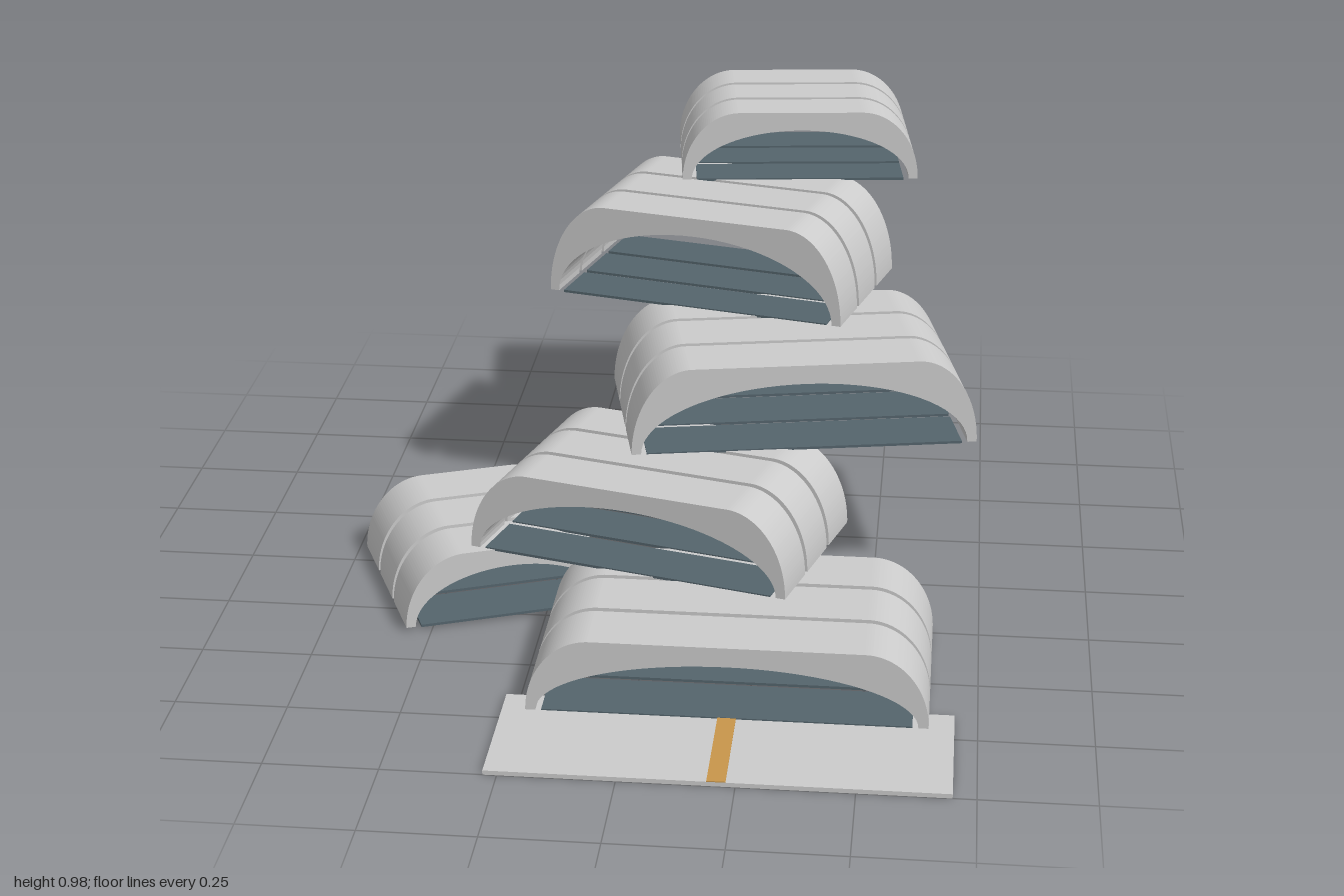
import * as THREE from 'three';

const shellMat = new THREE.MeshStandardMaterial({ color: 0xcccccc });
const floorMat = new THREE.MeshStandardMaterial({ color: 0x54646c });
const stripMat = new THREE.MeshStandardMaterial({ color: 0xc8964b });

const GAP = 0.016;     // slit between neighbouring ribs
const CORNER = 0.14;   // width of the rounded shoulder
const ROOF = 0.045;    // roof thickness at the crown
const FOOT = 0.022;    // thickness at the foot

function box(name, mat, w, h, d, x, y, z) {
  const mesh = new THREE.Mesh(new THREE.BoxGeometry(w, h, d), mat);
  mesh.name = name;
  mesh.position.set(x, y, z);
  return mesh;
}

// Arch section: flat roof with elliptical shoulders, elliptical opening below
function archShape(half, height) {
  const s = new THREE.Shape();
  s.moveTo(half, 0);
  s.absellipse(half - CORNER, 0, CORNER, height, 0, Math.PI / 2, false, 0);
  s.absellipse(-half + CORNER, 0, CORNER, height, Math.PI / 2, Math.PI, false, 0);
  s.lineTo(-half + FOOT, 0);
  s.absellipse(0, 0, half - FOOT, height - ROOF, Math.PI, 0, true, 0);
  s.closePath();
  return s;
}

// One pavilion: three arched ribs, each over its own thin dark floor
function pavilion({ name, width, depth, x, z, base, top, turn }) {
  const group = new THREE.Group();
  group.name = name;
  const rib = (depth - 2 * GAP) / 3;
  const arch = new THREE.ExtrudeGeometry(archShape(width / 2, top - base), {
    depth: rib, bevelEnabled: false, curveSegments: 20,
  });
  arch.translate(0, 0, -rib / 2);
  for (let i = -1; i <= 1; i++) {
    const offset = i * (rib + GAP);
    const mesh = new THREE.Mesh(arch, shellMat);
    mesh.name = 'archRib';
    mesh.position.z = offset;
    group.add(mesh, box('floorPanel', floorMat, width - 0.07, 0.006, rib, 0, 0, offset));
  }
  group.position.set(x, base, z);
  group.rotation.y = THREE.MathUtils.degToRad(turn);
  return group;
}

export function createModel() {
  const model = new THREE.Group();
  model.name = 'steppedPavilions';

  // Entrance terrace with a coloured path
  model.add(box('terrace', shellMat, 0.98, 0.01, 0.34, 0.21, 0.005, 0.83));
  model.add(box('path', stripMat, 0.04, 0.003, 0.28, 0.21, 0.0108, 0.86));

  // Arched pavilions climbing towards the back
  [
    { name: 'entrancePavilion', width: 0.874, depth: 0.485, x: 0.208, z: 0.483, base: 0.01, top: 0.18, turn: 0 },
    { name: 'sidePavilion', width: 0.504, depth: 0.46, x: -0.41, z: 0.058, base: 0.01, top: 0.18, turn: 22.3 },
    { name: 'secondPavilion', width: 0.763, depth: 0.439, x: 0.01, z: 0.162, base: 0.18, top: 0.375, turn: -15.7 },
    { name: 'thirdPavilion', width: 0.804, depth: 0.475, x: 0.289, z: -0.153, base: 0.375, top: 0.58, turn: 11.4 },
    { name: 'fourthPavilion', width: 0.738, depth: 0.432, x: 0.098, z: -0.476, base: 0.58, top: 0.805, turn: -14.5 },
    { name: 'topPavilion', width: 0.579, depth: 0.378, x: 0.256, z: -0.78, base: 0.805, top: 0.975, turn: 6.6 },
  ].forEach((p) => model.add(pavilion(p)));

  return model;
}
